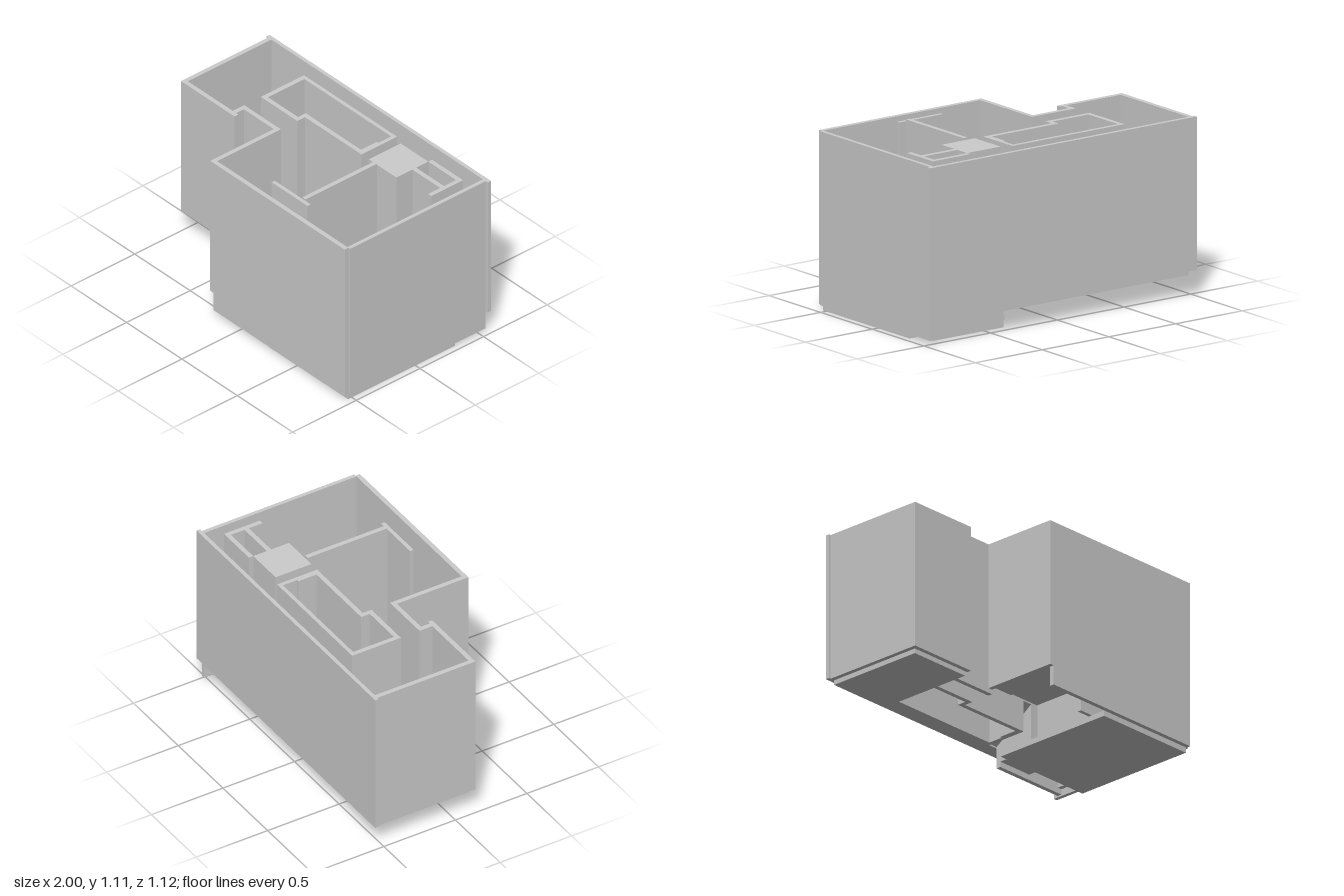
import * as THREE from 'three';

const TOP = 1.1;

export function createModel() {
  const model = new THREE.Group();
  const mat = new THREE.MeshStandardMaterial({ color: 0xcccccc, flatShading: true });

  // Box given by its extents on x, y and z
  function block(name, x0, x1, y0, y1, z0, z1) {
    const mesh = new THREE.Mesh(new THREE.BoxGeometry(x1 - x0, y1 - y0, z1 - z0), mat);
    mesh.position.set((x0 + x1) / 2, (y0 + y1) / 2, (z0 + z1) / 2);
    mesh.name = name;
    model.add(mesh);
    return mesh;
  }
  // Full-height wall from a base level
  const wall = (name, x0, x1, z0, z1, base = 0.13, top = TOP) =>
    block(name, x0, x1, base, top, z0, z1);

  // Thin sloping floor between two levels along z
  function ramp(name, x0, x1, z0, y0, z1, y1) {
    const t = 0.03;
    const shape = new THREE.Shape([
      new THREE.Vector2(-z0, y0), new THREE.Vector2(-z0, y0 - t),
      new THREE.Vector2(-z1, y1 - t), new THREE.Vector2(-z1, y1),
    ]);
    const geo = new THREE.ExtrudeGeometry(shape, { depth: x1 - x0, bevelEnabled: false });
    geo.rotateY(Math.PI / 2);
    geo.translate(x0, 0, 0);
    const mesh = new THREE.Mesh(geo, mat);
    mesh.name = name;
    model.add(mesh);
  }

  // Outer walls
  wall('backWall', -1, 1, -0.56, -0.535, 0.16);
  wall('leftSideWall', 0.955, 0.98, -0.535, 0.53, 0.035);
  wall('rightSideWall', -0.985, -0.955, -0.535, 0.15, 0.16);
  wall('wingFrontWall', -0.955, -0.5, 0.12, 0.15, 0.16);
  wall('wingReturnWall', -0.55, -0.52, 0.03, 0.12);
  wall('recessFrontWall', -0.55, -0.22, 0.03, 0.06);
  wall('hallSideWall', -0.25, -0.22, 0.06, 0.56, 0.16);
  wall('frontWall', -0.22, 0.965, 0.53, 0.56, 0.035);

  // Walls around the open light well
  wall('wellBackWall', -0.55, 0.29, -0.44, -0.415);
  wall('wellSideWall', -0.55, -0.52, -0.415, -0.1);
  wall('recessBackWall', -0.52, -0.25, -0.13, -0.1);
  wall('wellCornerWall', -0.25, -0.22, -0.19, -0.1);
  wall('wellFrontWall', -0.22, 0.265, -0.19, -0.16);
  wall('wellEndWall', 0.265, 0.29, -0.415, -0.16);
  wall('wellPilaster', 0.25, 0.265, -0.315, -0.19);
  wall('stairParapet', 0.265, 0.29, -0.16, 0.055, 0.36, 0.7);

  // Small inner room
  wall('tallPartition', 0.405, 0.435, -0.155, 0.405, 0.035, 1.112);
  wall('crossPartition', 0.155, 0.48, 0.405, 0.43, 0.035);

  // Solid shaft and the narrow open duct next to it
  wall('solidShaft', 0.355, 0.605, -0.41, -0.16, 0.035);
  wall('shaftBackWall', 0.355, 0.605, -0.44, -0.41, 0, 0.9);
  wall('ductBackWall', 0.605, 0.885, -0.44, -0.41, 0);
  wall('ductFrontWall', 0.605, 0.855, -0.315, -0.285, 0.035);
  wall('ductSideWall', 0.855, 0.885, -0.41, -0.19, 0.035);

  // Floors on several levels
  block('lowerFloor', 0.25, 0.96, 0, 0.035, -0.31, 0.53);
  block('wingFloor', -0.955, -0.52, 0.13, 0.16, -0.535, 0.12);
  block('corridorFloor', -0.52, 0.955, 0.13, 0.16, -0.535, -0.44);
  block('raisedFloor', -0.22, 0.18, 0.33, 0.36, -0.16, 0.53);
  block('innerRoomFloor', 0.155, 0.405, 0.34, 0.37, -0.16, 0.405);
  ramp('upperRamp', 0.29, 0.355, -0.455, 0.16, -0.16, 0.36);
  ramp('lowerRamp', 0.885, 0.955, -0.44, 0.16, -0.27, 0.035);

  // Furnishings
  block('longBox', -0.11, -0.02, 0.36, 0.42, 0.2, 0.415);
  block('smallBox', 0.465, 0.555, 0.035, 0.1, 0.185, 0.275);
  const pyramid = new THREE.Mesh(new THREE.ConeGeometry(0.0625 * Math.SQRT2, 0.1, 4), mat);
  pyramid.rotation.y = Math.PI / 4;
  pyramid.position.set(0.745, 0.085, -0.02);
  pyramid.name = 'pyramid';
  model.add(pyramid);

  return model;
}
